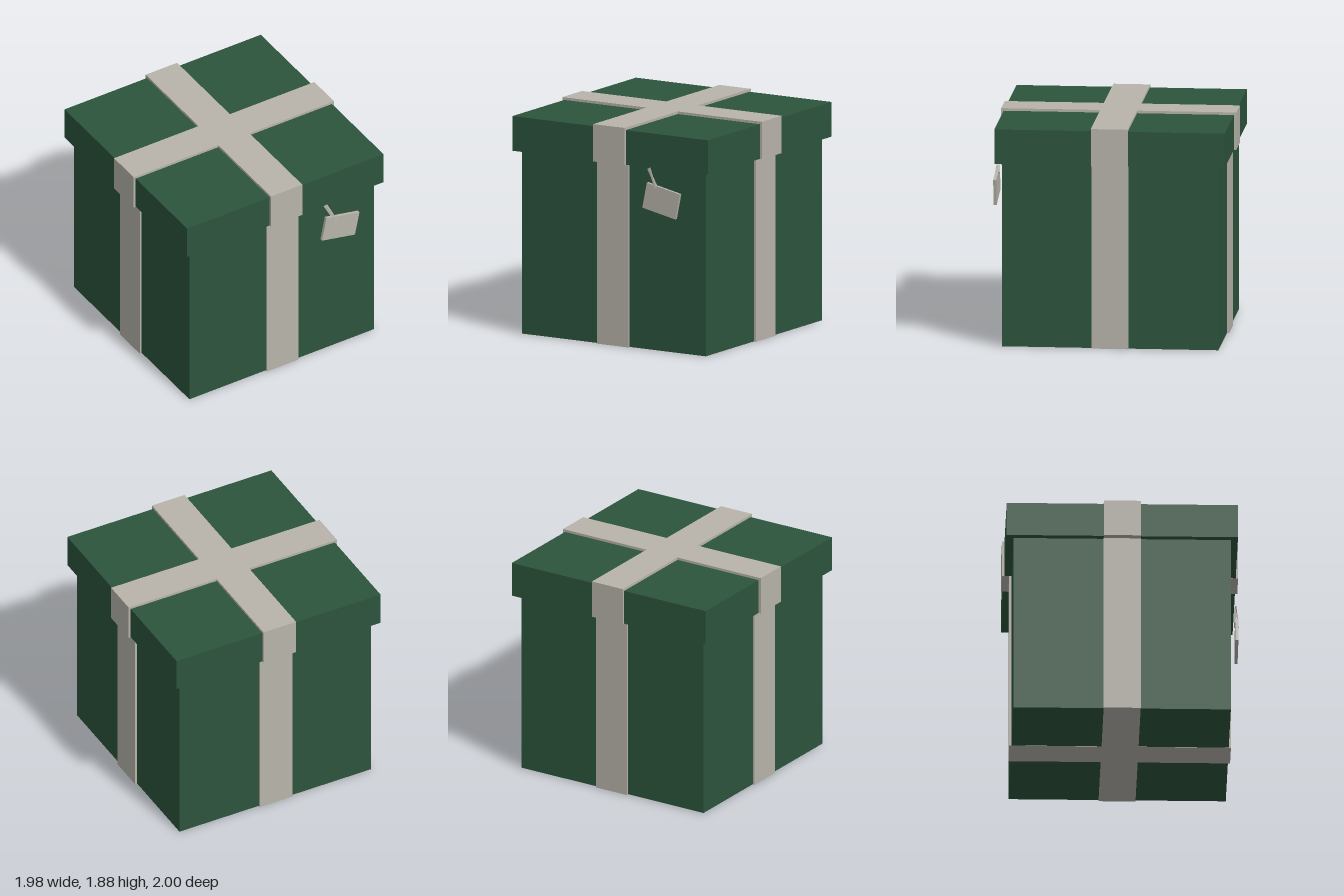
import * as THREE from 'three';

const green = new THREE.MeshStandardMaterial({ name: 'greenPaper', color: 0x2c543c });
const silver = new THREE.MeshStandardMaterial({ name: 'paleRibbon', color: 0xb8b4ab });

const CZ = -0.011; // the box sits slightly behind centre because of the tag
const RIBBON = 0.31;

function box(name, material, w, d, y0, y1) {
  const mesh = new THREE.Mesh(new THREE.BoxGeometry(w, y1 - y0, d), material);
  mesh.name = name;
  mesh.position.set(0, (y0 + y1) / 2, CZ);
  return mesh;
}

// Two crossing bands that wrap around a square box
function ribbons(name, size, y0, y1) {
  const group = new THREE.Group();
  group.name = name;
  group.add(box(name + 'FrontToBack', silver, RIBBON, size, y0, y1));
  group.add(box(name + 'SideToSide', silver, size, RIBBON, y0, y1));
  return group;
}

// Thin square strand between two points
function strand(name, from, to) {
  const a = new THREE.Vector3(...from), b = new THREE.Vector3(...to);
  const mesh = new THREE.Mesh(new THREE.BoxGeometry(0.018, a.distanceTo(b), 0.007), silver);
  mesh.name = name;
  mesh.position.copy(a).lerp(b, 0.5);
  mesh.quaternion.setFromUnitVectors(new THREE.Vector3(0, 1, 0), a.sub(b).normalize());
  return mesh;
}

export function createModel() {
  const model = new THREE.Group();
  model.name = 'giftBox';

  // Body and overhanging lid, each with its own ribbons
  model.add(box('body', green, 1.82, 1.82, 0.002, 1.57));
  model.add(ribbons('bodyRibbon', 1.857, 0, 1.57));
  model.add(box('lid', green, 1.937, 1.937, 1.566, 1.862));
  model.add(ribbons('lidRibbon', 1.977, 1.565, 1.884));

  // Tilted gift tag
  const tag = new THREE.Mesh(new THREE.BoxGeometry(0.333, 0.223, 0.026), silver);
  tag.name = 'tag';
  tag.position.set(0.525, 1.302, 0.979);
  tag.rotation.z = -0.203;
  model.add(tag);

  // Looped string, one strand on each side of the tag
  model.add(strand('frontString', [0.396, 1.567, 0.972], [0.475, 1.4, 0.995]));
  model.add(strand('backString', [0.382, 1.56, 0.966], [0.468, 1.4, 0.962]));

  return model;
}
